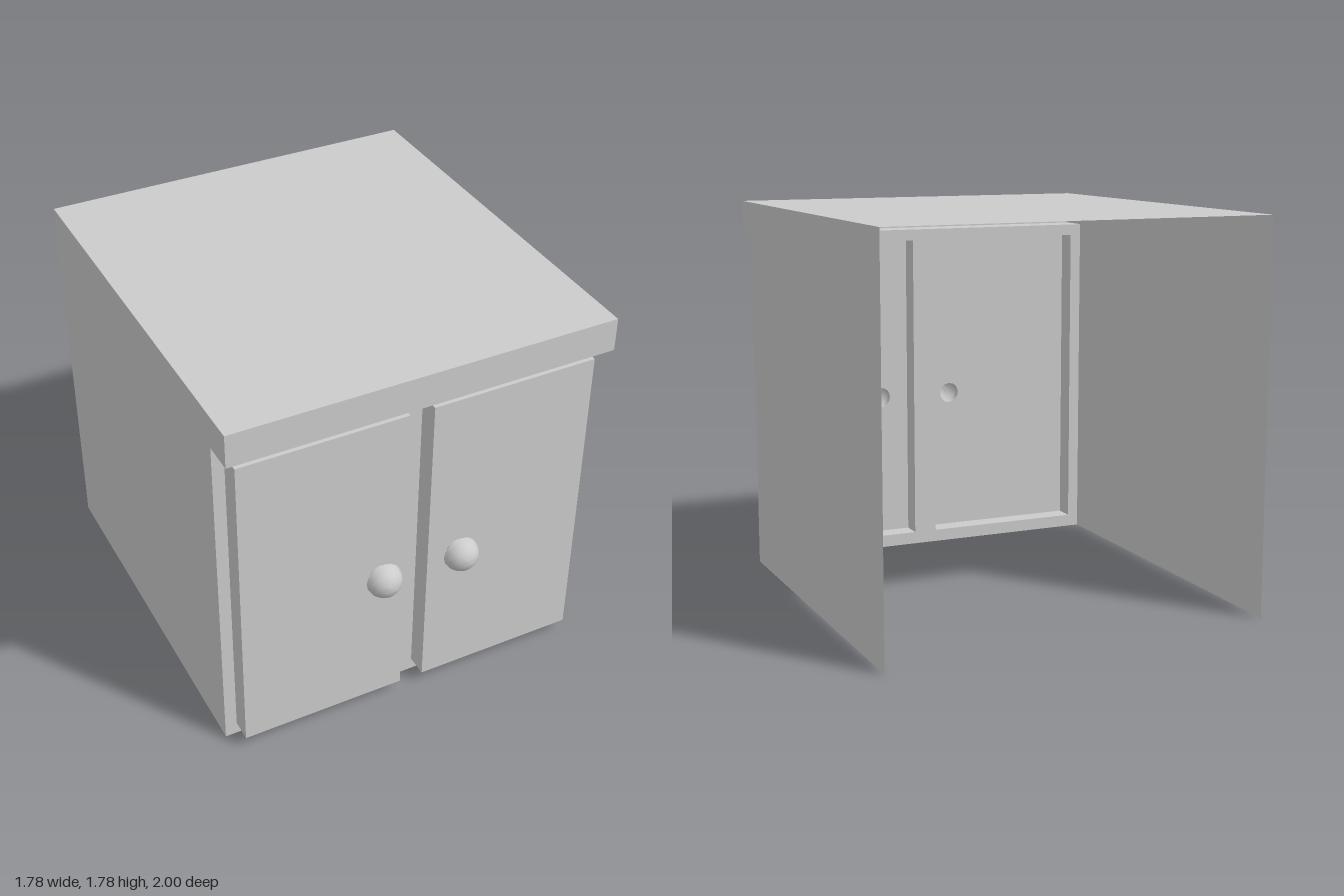
import * as THREE from 'three';
import { toCreasedNormals } from 'three/addons/utils/BufferGeometryUtils.js';

const HALF = 0.89, FRONT = 0.785, BACK = -1, TOP = 1.785;
const LIP_Z = 0.93, LIP_Y = 1.63;
const DOOR_Z = 0.885, DOOR_Y0 = 0.06, DOOR_Y1 = 1.575;
const KNOB_Y = 0.765, STEM_R = 0.05, KNOB_R = 0.082, SEGMENTS = 16;
const doors = [
  { name: 'right', x0: -0.835, x1: -0.06, knobX: -0.18 },
  { name: 'left', x0: 0.055, x1: 0.83, knobX: 0.2 },
];

const material = new THREE.MeshStandardMaterial({ color: 0xcccccc, side: THREE.DoubleSide });

function part(name, geometry, parent) {
  const mesh = new THREE.Mesh(geometry, material);
  mesh.name = name;
  parent.add(mesh);
  return mesh;
}

// Thin flat-shaded strip: a polyline in xy swept from z0 to z1
function sweep(points, z0, z1) {
  const positions = [];
  for (let i = 0; i + 1 < points.length; i++) {
    const [ax, ay] = points[i], [bx, by] = points[i + 1];
    positions.push(ax, ay, z0, bx, by, z0, bx, by, z1);
    positions.push(ax, ay, z0, bx, by, z1, ax, ay, z1);
  }
  const geometry = new THREE.BufferGeometry();
  geometry.setAttribute('position', new THREE.Float32BufferAttribute(positions, 3));
  geometry.computeVertexNormals();
  return geometry;
}

const outline = (points) => points.map(([x, y]) => new THREE.Vector2(x, y));
const rectangle = (x0, x1, y0, y1) => [[x0, y0], [x1, y0], [x1, y1], [x0, y1]];

// Hollow knob: stem, flat underside and domed cap, turned to face +z
function knobGeometry() {
  const neck = 0.918, depth = 1 - neck;
  const profile = [new THREE.Vector2(STEM_R, DOOR_Z), new THREE.Vector2(STEM_R, neck)];
  for (let i = 0; i <= 6; i++) {
    const a = (i / 6) * Math.PI / 2;
    profile.push(new THREE.Vector2(i === 6 ? 0 : KNOB_R * Math.cos(a), neck + depth * Math.sin(a)));
  }
  return toCreasedNormals(new THREE.LatheGeometry(profile, SEGMENTS).rotateX(Math.PI / 2), 0.7);
}

export function createModel() {
  const cabinet = new THREE.Group();
  cabinet.name = 'cabinet';

  // Shell, drawn as a side profile (z, y) and turned so the profile runs along z
  const shell = new THREE.Group();
  shell.name = 'shell';
  shell.rotation.y = -Math.PI / 2;
  cabinet.add(shell);
  const lip = [[FRONT, LIP_Y], [LIP_Z, LIP_Y], [LIP_Z, TOP], [BACK, TOP]];
  part('worktop', sweep(lip, -HALF, HALF), shell);
  const sideShape = new THREE.Shape(outline([[BACK, 0], [FRONT, 0], ...lip]));
  for (const s of [1, -1]) {
    const side = part(s > 0 ? 'rightSide' : 'leftSide',
      new THREE.ShapeGeometry(sideShape).translate(0, 0, HALF), shell);
    side.scale.z = s;
  }

  // Front frame with an opening behind each door
  const frame = new THREE.Shape(outline(rectangle(-HALF, HALF, 0, LIP_Y)));
  for (const d of doors) {
    frame.holes.push(new THREE.Path(outline(rectangle(d.x0, d.x1, DOOR_Y0, DOOR_Y1))));
  }
  part('frontFrame', new THREE.ShapeGeometry(frame).translate(0, 0, FRONT), cabinet);

  // Doors: raised hollow panels, open at the knob stem
  for (const d of doors) {
    const door = new THREE.Group();
    door.name = d.name + 'Door';
    cabinet.add(door);
    const corners = rectangle(d.x0, d.x1, DOOR_Y0, DOOR_Y1);
    part('doorEdge', sweep([...corners, corners[0]], FRONT, DOOR_Z), door);
    const face = new THREE.Shape(outline(corners));
    const hole = [];
    for (let i = 0; i < SEGMENTS; i++) {
      const a = (i / SEGMENTS) * Math.PI * 2;
      hole.push([d.knobX + STEM_R * Math.cos(a), KNOB_Y + STEM_R * Math.sin(a)]);
    }
    face.holes.push(new THREE.Path(outline(hole)));
    part('doorPanel', new THREE.ShapeGeometry(face).translate(0, 0, DOOR_Z), door);
    part('knob', knobGeometry(), door).position.set(d.knobX, KNOB_Y, 0);
  }
  return cabinet;
}
